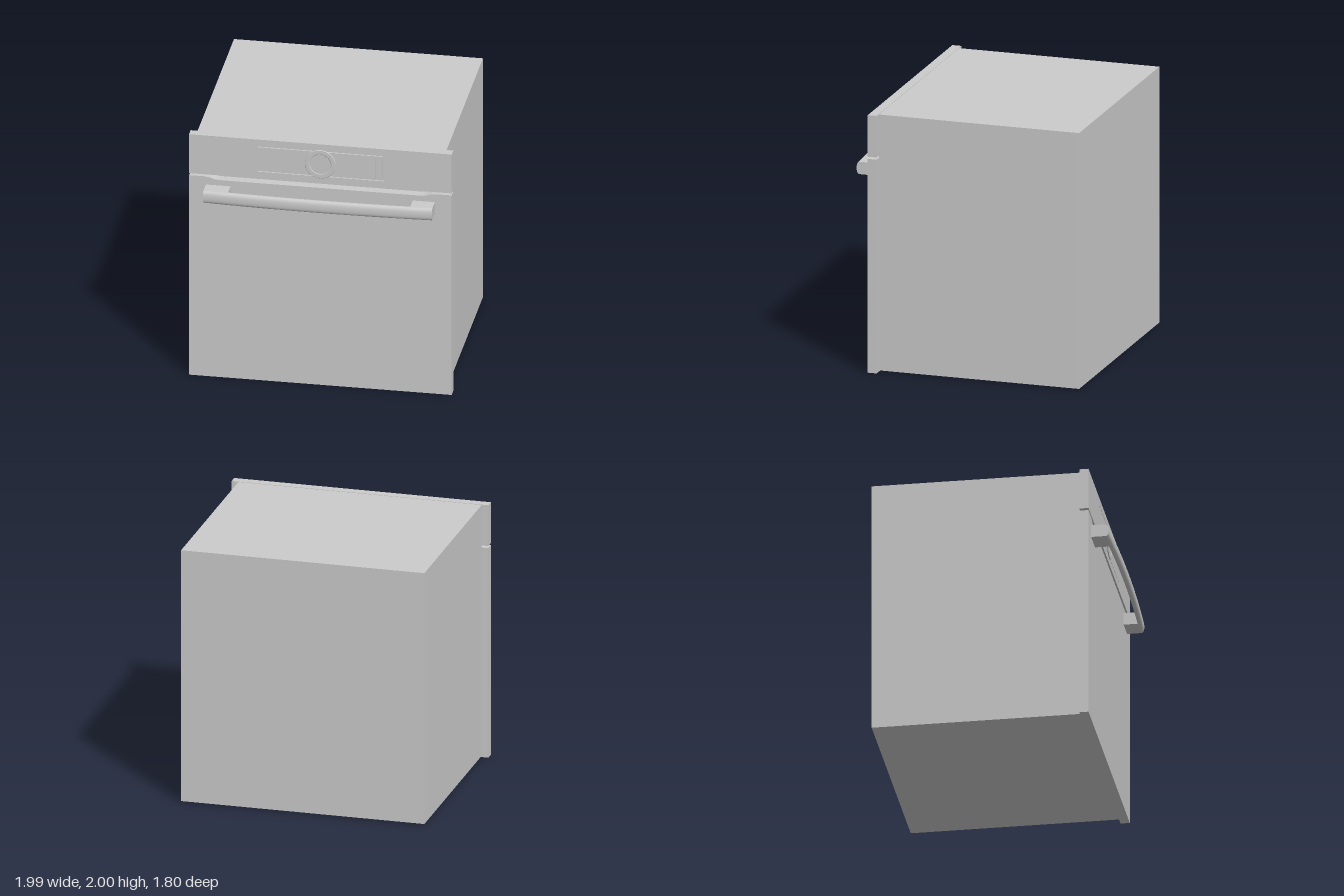
import * as THREE from 'three';
import { toCreasedNormals } from 'three/addons/utils/BufferGeometryUtils.js';

const material = new THREE.MeshStandardMaterial({ color: 0xcccccc });
const W = 0.995, BACK = 0.676, FRONT = 0.746;

function add(parent, name, geometry) {
  const mesh = new THREE.Mesh(geometry, material);
  mesh.name = name;
  parent.add(mesh);
  return mesh;
}

// Box given by its minimum and maximum corners
function box(parent, name, [x0, y0, z0], [x1, y1, z1]) {
  const mesh = add(parent, name, new THREE.BoxGeometry(x1 - x0, y1 - y0, z1 - z0));
  mesh.position.set((x0 + x1) / 2, (y0 + y1) / 2, (z0 + z1) / 2);
  return mesh;
}

function polygon(points, Type = THREE.Shape) {
  return new Type(points.map(([x, y]) => new THREE.Vector2(x, y)));
}

// Flat front part, extruded from the body's face to the front plane
function slab(parent, name, shape) {
  const geometry = new THREE.ExtrudeGeometry(shape, { depth: FRONT - BACK, bevelEnabled: false });
  geometry.translate(0, 0, BACK);
  return add(parent, name, geometry);
}

// Bowed bar lofted along x: flat back, rounded front
function barGeometry(halfLength, y, halfHeight, steps) {
  const section = (x) => {
    const bow = 0.023 * (x / halfLength) ** 2;
    const points = [[-halfHeight, 0.866 - bow], [halfHeight, 0.866 - bow]];
    for (let i = 0; i <= 12; i++) {
      const a = (Math.PI * i) / 12;
      const c = Math.cos(a);
      points.push([halfHeight * Math.sign(c) * Math.abs(c) ** 0.8, 0.877 - bow + 0.022 * Math.sin(a) ** 0.8]);
    }
    return points;
  };
  const positions = [], index = [];
  const n = section(0).length;
  for (let i = 0; i <= steps; i++) {
    const x = halfLength * ((2 * i) / steps - 1);
    for (const [dy, z] of section(x)) positions.push(x, y + dy, z);
  }
  for (let i = 0; i < steps; i++) {
    for (let j = 0; j < n; j++) {
      const a = i * n + j, c = i * n + ((j + 1) % n);
      index.push(a, c, a + n, c, c + n, a + n);
    }
  }
  const last = steps * n;
  for (let j = 1; j < n - 1; j++) {
    index.push(0, j + 1, j);
    index.push(last, last + j, last + j + 1);
  }
  const geometry = new THREE.BufferGeometry();
  geometry.setAttribute('position', new THREE.Float32BufferAttribute(positions, 3));
  geometry.setIndex(index);
  return toCreasedNormals(geometry, 0.6);
}

export function createModel() {
  const group = new THREE.Group();
  group.name = 'oven';

  // Oven housing
  box(group, 'body', [-0.943, 0.01, -0.9], [0.943, 1.997, BACK]);

  // Door with a shallow finger notch along its top edge
  slab(group, 'door', polygon([
    [-W, 0], [W, 0], [W, 1.66], [0.88, 1.66], [0.84, 1.654], [0.8, 1.642], [0.77, 1.638],
    [-0.77, 1.638], [-0.8, 1.642], [-0.84, 1.654], [-0.88, 1.66], [-W, 1.66],
  ]));

  // Control panel with an opening for the display
  const dx = 0.477, y0 = 1.733, y1 = 1.942;
  const panel = polygon([[-W, 1.677], [W, 1.677], [W, 2], [-W, 2]]);
  panel.holes.push(polygon([[-dx, y0], [-dx, y1], [dx, y1], [dx, y0]], THREE.Path));
  slab(group, 'controlPanel', panel);

  // Display glass and side touch strips, set in with narrow grooves
  const gap = 0.006, split = 0.422;
  box(group, 'grooveFloor', [-dx, y0, BACK], [dx, y1, 0.734]);
  box(group, 'display', [-split + gap / 2, y0 + gap, 0.73], [split - gap / 2, y1 - gap, FRONT]);
  for (const s of [-1, 1]) {
    const a = s * (split + gap / 2), b = s * (dx - gap);
    box(group, s > 0 ? 'leftTouchStrip' : 'rightTouchStrip',
      [Math.min(a, b), y0 + gap, 0.73], [Math.max(a, b), y1 - gap, FRONT]);
  }

  // Round control dial with a raised rim
  const profile = [[0.117, -0.014], [0.117, 0.004], [0.114, 0.007], [0.084, 0.007], [0.08, 0.004], [0, 0.004]];
  const dialGeometry = new THREE.LatheGeometry(profile.map(([r, h]) => new THREE.Vector2(r, h)), 64);
  const dial = add(group, 'dial', toCreasedNormals(dialGeometry, 0.5));
  dial.rotation.x = Math.PI / 2;
  dial.position.set(0, 1.836, FRONT);

  // Handle: bowed bar on two posts
  const handle = new THREE.Group();
  handle.name = 'handle';
  group.add(handle);
  add(handle, 'handleBar', barGeometry(0.867, 1.545, 0.048, 32));
  box(handle, 'rightPost', [-0.867, 1.497, FRONT], [-0.68, 1.593, 0.853]);
  box(handle, 'leftPost', [0.7, 1.497, FRONT], [0.867, 1.593, 0.853]);

  return group;
}
